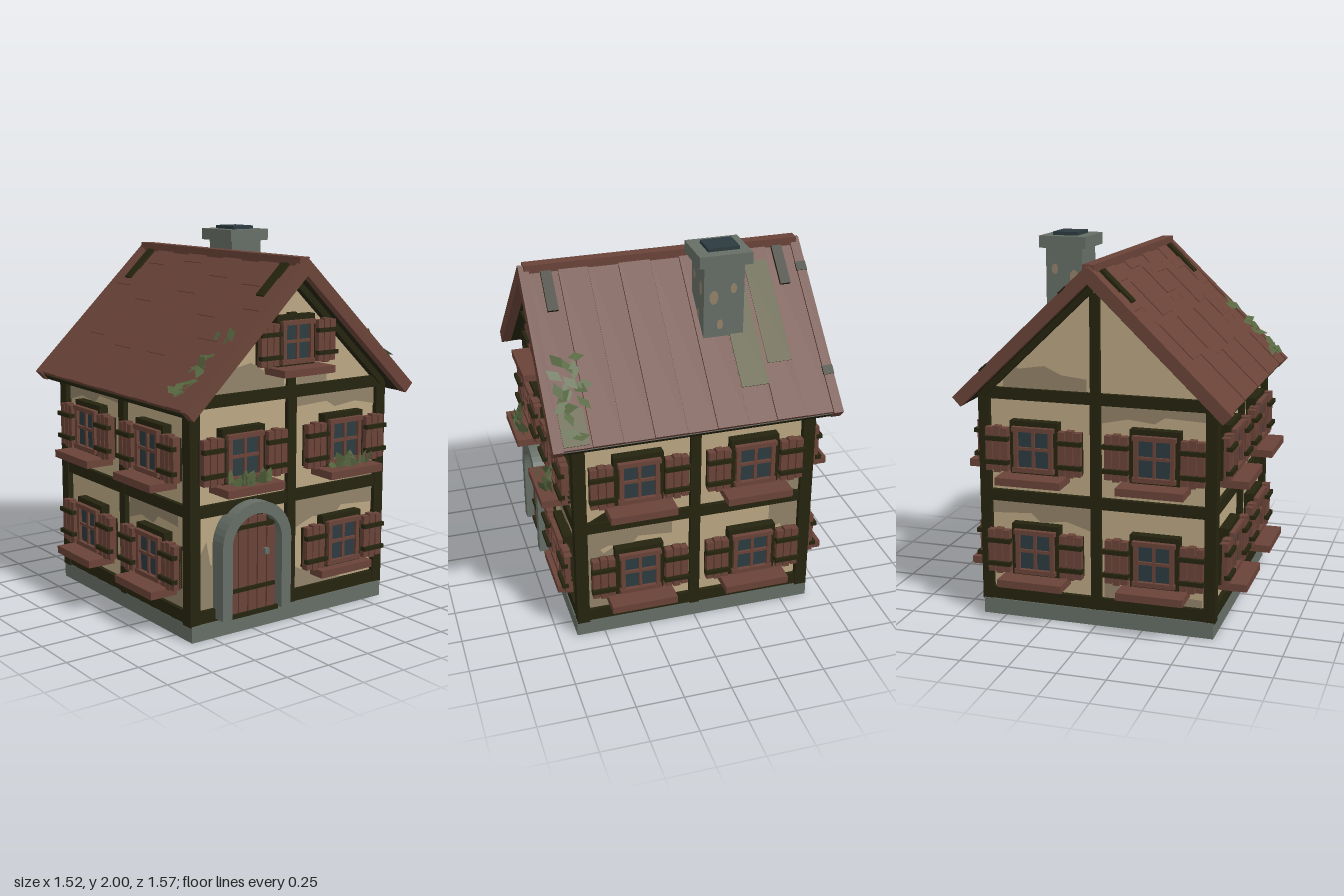
import * as THREE from 'three';

const mat = (name, color, side = THREE.FrontSide) => {
  const m = new THREE.MeshStandardMaterial({ color, side });
  m.name = name;
  return m;
};

export function createModel() {
  const house = new THREE.Group();
  house.name = 'cottage';
  const plaster = mat('plaster', 0xbaa782);
  const stain = mat('worn plaster', 0x92836a);
  const timber = mat('dark timber', 0x25240f);
  const red = mat('red wood', 0x6a4338);
  const stone = mat('stone', 0x666e66);
  const glass = mat('glass', 0x2c3b40);
  const moss = mat('moss', 0x565431);
  const leaf = mat('leaf', 0x56663f, THREE.DoubleSide);

  let seed = 7;
  const rnd = (a = 0, b = 1) => {
    seed = (seed * 16807) % 2147483647;
    return a + (b - a) * (seed / 2147483647);
  };
  const add = (parent, name, geo, material) => {
    const m = new THREE.Mesh(geo, material);
    m.name = name;
    parent.add(m);
    return m;
  };
  const box = (parent, name, material, x0, x1, y0, y1, z0, z1) => {
    const m = add(parent, name, new THREE.BoxGeometry(x1 - x0, y1 - y0, z1 - z0), material);
    m.position.set((x0 + x1) / 2, (y0 + y1) / 2, (z0 + z1) / 2);
    return m;
  };
  const group = (parent, name) => {
    const g = new THREE.Group();
    g.name = name;
    parent.add(g);
    return g;
  };
  const polygon = (pts) => new THREE.Shape(pts.map(([x, y]) => new THREE.Vector2(x, y)));

  // Foundation and plastered walls with gables
  box(house, 'foundation', stone, -0.625, 0.625, 0, 0.085, -0.65, 0.65);
  const wallShape = polygon([[-0.6, 0.08], [0.6, 0.08], [0.6, 1.21], [0, 1.8], [-0.6, 1.21]]);
  const walls = add(house, 'walls', new THREE.ExtrudeGeometry(wallShape, { depth: 1.24, bevelEnabled: false }), plaster);
  walls.position.z = -0.62;

  // Corner posts
  for (const sx of [-1, 1]) for (const sz of [-1, 1]) {
    const post = box(house, 'cornerPost', timber, -0.03, 0.03, 0.08, 1.22, -0.033, 0.033);
    post.position.x = sx * 0.602;
    post.position.z = sz * 0.614;
  }

  // Wall faces: local x to the right, local z outwards
  const face = (name, angle, dist, half) => {
    const g = group(house, name);
    g.rotation.y = angle;
    g.position.set(Math.sin(angle) * dist, 0, Math.cos(angle) * dist);
    for (const [a, b] of [[0.08, 0.15], [0.63, 0.69], [1.175, 1.235]])
      box(g, 'beam', timber, -half, half, a, b, -0.03, 0.024);
    box(g, 'middlePost', timber, -0.027, 0.027, 0.08, 1.2, -0.03, 0.027);
    return g;
  };
  const front = face('frontWall', 0, 0.62, 0.6);
  const back = face('backWall', Math.PI, 0.62, 0.6);
  const right = face('leftSideWall', Math.PI / 2, 0.6, 0.62);
  const left = face('rightSideWall', -Math.PI / 2, 0.6, 0.62);

  // Window with frame, mullions, sill and open shutters
  const windowUnit = (wall, x, y, sillDepth = 0.165, s = 1) => {
    const g = group(wall, 'window');
    g.position.set(x, y, 0);
    g.scale.set(s, s, 1);
    box(g, 'surround', timber, -0.13, 0.13, -0.005, 0.278, 0, 0.05);
    box(g, 'glass', glass, -0.09, 0.09, 0.03, 0.24, 0.04, 0.054);
    for (const k of [-1, 1]) {
      const jamb = box(g, 'jamb', red, -0.011, 0.011, 0.012, 0.25, 0.03, 0.072);
      jamb.position.x = k * 0.094;
      const rail = box(g, 'rail', red, -0.112, 0.112, -0.012, 0.012, 0.03, 0.076);
      rail.position.y = 0.132 + k * 0.107;
      // shutter: three planks joined by two battens
      const sh = group(g, 'shutter');
      sh.position.x = k * 0.197;
      box(sh, 'shutterBack', timber, -0.06, 0.06, 0.02, 0.235, 0.025, 0.045);
      for (let i = -1; i <= 1; i++)
        box(sh, 'shutterPlank', red, i * 0.042 - 0.018, i * 0.042 + 0.018, i ? 0.012 : 0.004, i ? 0.24 : 0.248, 0.035, 0.075);
      for (const by of [0.06, 0.185])
        box(sh, 'batten', timber, -0.068, 0.068, by - 0.011, by + 0.011, 0.06, 0.092);
    }
    box(g, 'mullion', red, -0.008, 0.008, 0.03, 0.24, 0.04, 0.066);
    box(g, 'crossbar', red, -0.09, 0.09, 0.128, 0.144, 0.04, 0.066);
    box(g, 'sill', red, -0.175, 0.175, -0.04, 0, 0, sillDepth);
    return g;
  };
  for (const [wall, c] of [[back, 0.32], [right, 0.31], [left, 0.31]])
    for (const x of [-c, c]) for (const y of [0.245, 0.795]) windowUnit(wall, x, y, 0.16);
  windowUnit(front, 0.325, 0.245, 0.1);
  for (const x of [-0.325, 0.325]) {
    const w = windowUnit(front, x, 0.79);
    // Plants on the sill
    for (let i = 0; i < 14; i++) {
      const l = add(w, 'sillLeaf', new THREE.ShapeGeometry(polygon([[-0.03, 0], [0.03, 0], [0.012, 0.07], [-0.012, 0.055]])), leaf);
      l.position.set(rnd(-0.11, 0.11), rnd(-0.005, 0.02), rnd(0.085, 0.14));
      l.rotation.set(rnd(-0.4, 0.5), rnd(-0.8, 0.8), rnd(-1, 1));
    }
  }
  windowUnit(front, 0, 1.345, 0.165, 0.92);

  // Gable posts and side braces
  box(front, 'gablePost', timber, -0.025, 0.025, 1.2, 1.61, -0.02, 0.02);
  box(back, 'gablePost', timber, -0.025, 0.025, 1.2, 1.74, -0.02, 0.027);
  for (const k of [-1, 1]) {
    const brace = box(right, 'brace', timber, -0.13, 0.13, -0.02, 0.02, 0, 0.018);
    brace.position.x = k * 0.455;
    brace.position.y = 0.725;
    brace.rotation.z = -k * 0.5;
  }

  // Worn plaster patches
  const patch = (wall, pts) => {
    const m = add(wall, 'wornPatch', new THREE.ShapeGeometry(polygon(pts)), stain);
    m.position.z = 0.004;
  };
  const topPatch = (wall, a, b, y, h) => patch(wall, [[a, y], [a, y - h], [a + (b - a) * 0.25, y - h * 0.7],
    [a + (b - a) * 0.5, y - h * 0.85], [a + (b - a) * 0.6, y - h * 0.5], [b, y - h * 0.6], [b, y]]);
  const lowPatch = (wall, a, b, y, h) => patch(wall, [[a, y], [b, y], [b, y + h * 0.5],
    [a + (b - a) * 0.7, y + h * 0.6], [a + (b - a) * 0.5, y + h * 0.9], [a + (b - a) * 0.2, y + h * 0.75], [a, y + h]]);
  topPatch(front, 0.02, 0.58, 0.64, 0.17);
  lowPatch(front, 0.02, 0.35, 0.14, 0.14);
  topPatch(front, 0.58, 0.02, 1.18, 0.1);
  lowPatch(front, -0.58, -0.46, 0.14, 0.4);
  lowPatch(front, -0.46, -0.04, 1.23, 0.16);
  lowPatch(front, 0.04, 0.24, 1.23, 0.1);
  lowPatch(front, 0.57, 0.4, 0.68, 0.16);
  lowPatch(right, -0.58, -0.14, 0.14, 0.46);
  topPatch(right, -0.58, -0.12, 0.64, 0.16);
  topPatch(right, 0.59, 0.42, 0.64, 0.3);
  lowPatch(right, 0.59, 0.32, 0.68, 0.18);
  lowPatch(left, 0.58, 0.05, 0.14, 0.14);
  topPatch(left, -0.58, -0.04, 1.18, 0.13);
  topPatch(left, 0.04, 0.5, 0.64, 0.13);
  lowPatch(back, -0.5, -0.05, 1.23, 0.14);
  topPatch(back, 0.03, 0.58, 1.18, 0.1);
  topPatch(back, -0.03, -0.58, 0.64, 0.14);
  lowPatch(back, 0.04, 0.56, 0.14, 0.1);

  // Arched door with stone surround
  const door = group(front, 'door');
  door.position.set(-0.265, 0.1, 0);
  const arch = (r, drop = 0) => {
    const s = new THREE.Shape();
    s.moveTo(r, drop);
    s.lineTo(r, 0.37);
    s.absarc(0, 0.37, r, 0, Math.PI, false);
    s.lineTo(-r, drop);
    s.closePath();
    return s;
  };
  const surround = new THREE.Shape();
  surround.moveTo(0.215, 0);
  surround.lineTo(0.215, 0.37);
  surround.absarc(0, 0.37, 0.215, 0, Math.PI, false);
  surround.lineTo(-0.215, 0);
  surround.lineTo(-0.155, 0);
  surround.lineTo(-0.155, 0.37);
  surround.absarc(0, 0.37, 0.155, Math.PI, 0, true);
  surround.lineTo(0.155, 0);
  add(door, 'stoneArch', new THREE.ExtrudeGeometry(surround, { depth: 0.09, bevelEnabled: false, curveSegments: 10 }), stone);
  add(door, 'doorBack', new THREE.ExtrudeGeometry(arch(0.157), { depth: 0.03, bevelEnabled: false, curveSegments: 10 }), timber);
  for (let i = -2; i <= 2; i++) {
    const x = i * 0.059;
    const top = 0.37 + Math.sqrt(Math.max(0, 0.15 ** 2 - (Math.abs(x) + 0.02) ** 2));
    box(door, 'doorPlank', red, x - 0.026, x + 0.026, 0.005, top, 0.02, 0.048);
  }
  for (const y of [0.13, 0.455]) box(door, 'hinge', timber, -0.135, 0.135, y - 0.01, y + 0.01, 0.04, 0.06);
  box(door, 'handle', stone, 0.065, 0.09, 0.295, 0.325, 0.04, 0.07);
  box(door, 'threshold', timber, -0.155, 0.155, -0.015, 0.008, 0, 0.06);

  // Roof slopes: local x runs down the slope, local y is the normal
  const PITCH = 0.763;
  const roof = group(house, 'roof');
  for (const side of [1, -1]) {
    const turn = group(roof, 'roofSide');
    turn.rotation.y = side > 0 ? 0 : Math.PI;
    turn.position.y = 1.875;
    const slope = group(turn, 'slope');
    slope.rotation.z = -PITCH;
    box(slope, 'underlay', timber, 0, 0.99, -0.055, -0.02, -0.71, 0.71);
    const edges = [-0.71, -0.56, -0.4, -0.25, -0.085, 0.07, 0.24, 0.4, 0.555, 0.71];
    for (let i = 0; i < 9; i++) {
      // right side has long boards, left side broken into tiles
      const cuts = side > 0 ? [0, 0.985] : [0, rnd(0.08, 0.2), rnd(0.25, 0.45), rnd(0.55, 0.75), 0.985];
      for (let j = 0; j + 1 < cuts.length; j++)
        box(slope, 'roofBoard', red, cuts[j], cuts[j + 1], -0.025, ((i + j) % 2) * 0.005, edges[i] + 0.001, edges[i + 1] - 0.001);
    }
    for (const k of [-1, 1]) {
      const barge = box(slope, 'bargeboard', red, 0, 0.995, -0.055, 0.01, -0.026, 0.026);
      barge.position.z = k * 0.73;
      const rafter = box(slope, 'rafter', timber, 0.03, 0.9, -0.088, -0.05, -0.03, 0.03);
      rafter.position.z = k * 0.63;
      const tie = box(slope, 'ridgeTie', timber, 0.04, 0.26, 0, 0.016, -0.028, 0.028);
      tie.position.z = k * 0.62;
    }
    if (side > 0) {
      for (const x of [0.17, 0.76]) box(slope, 'bargePatch', timber, x - 0.025, x + 0.025, 0.005, 0.014, -0.757, -0.7);
      box(slope, 'mossPatch', moss, 0.11, 0.68, 0.003, 0.009, -0.55, -0.42);
      box(slope, 'mossPatch', moss, 0.24, 0.79, 0.003, 0.009, -0.4, -0.255);
      box(slope, 'mossPatch', moss, 0.78, 0.97, 0.003, 0.009, 0.57, 0.7);
    }
    // Creeper leaves on the front corner
    for (let i = 0; i < 18; i++) {
      const l = add(slope, 'roofLeaf', new THREE.ShapeGeometry(polygon([[-0.045, 0], [0, -0.025], [0.055, 0.005], [0.01, 0.03]])), leaf);
      l.position.set(rnd(0.5, 0.93), rnd(0.02, 0.04), side * rnd(side > 0 ? 0.54 : 0.57, 0.69));
      l.rotation.set(-Math.PI / 2 + rnd(-0.4, 0.4), rnd(-0.4, 0.4), rnd(-1.5, 1.5));
    }
  }
  box(roof, 'ridgeBeam', red, -0.03, 0.03, 1.82, 1.89, -0.735, 0.73);

  // Chimney
  const chimney = group(house, 'chimney');
  box(chimney, 'shaft', stone, 0.17, 0.367, 1.51, 1.93, -0.327, -0.113);
  box(chimney, 'cap', stone, 0.14, 0.393, 1.92, 1.982, -0.36, -0.08);
  box(chimney, 'flue', glass, 0.2, 0.335, 1.97, 2, -0.308, -0.142);
  const spot = (x, y, z, angle, w) => {
    const m = add(chimney, 'chipped patch', new THREE.CircleGeometry(1, 7), stain);
    m.scale.set(w, w * 1.6, 1);
    m.position.set(x, y, z);
    m.rotation.y = angle;
  };
  for (const [u, y, w] of [[0.055, 1.75, 0.025], [-0.05, 1.79, 0.018], [0.02, 1.6, 0.018]]) {
    spot(0.37, y, -0.22 + u, Math.PI / 2, w);
    spot(0.268 + u, y + 0.04, -0.11, 0, w);
    spot(0.268 - u, y + 0.02, -0.33, Math.PI, w);
  }
  return house;
}
